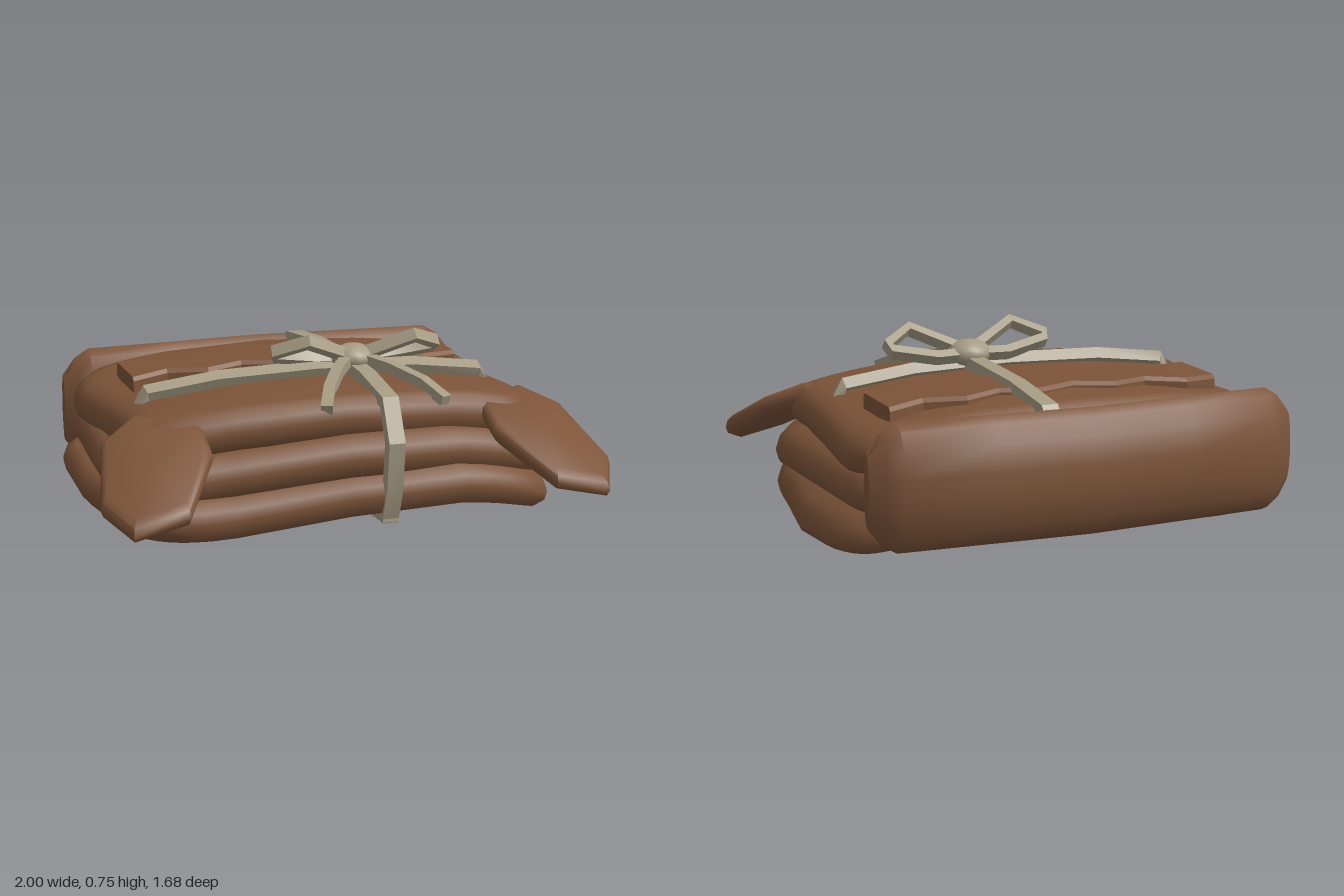
import * as THREE from 'three';
import { toCreasedNormals } from 'three/addons/utils/BufferGeometryUtils.js';

const hide = new THREE.MeshStandardMaterial({ color: 0x7c5439 });
hide.name = 'brown hide';
const twine = new THREE.MeshStandardMaterial({ color: 0xa69c84 });
twine.name = 'pale cord';

// Skin a list of closed cross-sections (equal point counts), capped at both ends
function skin(sections, crease) {
  const n = sections[0].length, pos = [], idx = [];
  sections.forEach(s => s.forEach(p => pos.push(p.x, p.y, p.z)));
  for (let i = 0; i < sections.length - 1; i++)
    for (let j = 0; j < n; j++) {
      const a = i * n + j, b = i * n + (j + 1) % n;
      idx.push(a, b, b + n, a, b + n, a + n);
    }
  [0, sections.length - 1].forEach((row, end) => {
    const c = sections[row].reduce((s, p) => s.add(p), new THREE.Vector3()).divideScalar(n);
    const ci = pos.length / 3;
    pos.push(c.x, c.y, c.z);
    for (let j = 0; j < n; j++) {
      const a = row * n + j, b = row * n + (j + 1) % n;
      if (end) idx.push(ci, a, b); else idx.push(ci, b, a);
    }
  });
  // turn the faces outward if the volume comes out negative
  const at = i => new THREE.Vector3().fromArray(pos, i * 3);
  let volume = 0;
  for (let i = 0; i < idx.length; i += 3) volume += at(idx[i]).dot(at(idx[i + 1]).cross(at(idx[i + 2])));
  if (volume < 0) idx.reverse();
  const g = new THREE.BufferGeometry();
  g.setAttribute('position', new THREE.Float32BufferAttribute(pos, 3));
  g.setIndex(idx);
  return toCreasedNormals(g, crease);
}

const V = (x, y, z) => new THREE.Vector3(x, y, z);

// Padded slab: concentric rings of an outline, [scale, height fraction]
const PAD = [[0.01, 0], [0.45, 0], [0.85, 0], [0.95, 0.08], [0.99, 0.3], [1, 0.52],
  [0.985, 0.76], [0.945, 0.94], [0.87, 1], [0.45, 1], [0.01, 1]];
const FLAP = [[0.01, 0], [0.86, 0], [0.96, 0.2], [1, 0.5], [0.97, 0.82], [0.88, 1], [0.01, 1]];

function slab(outline, cx, cz, rings, height, crease) {
  return skin(rings.map(([s, t]) => outline.map(([x, z]) => {
    const px = cx + (x - cx) * s, pz = cz + (z - cz) * s;
    return V(px, height(px, pz, t), pz);
  })), crease);
}

function layer({ rx, z0, z1, base, arch, skew, phase }) {
  const outline = [], cz = (z0 + z1) / 2, rz = (z1 - z0) / 2, N = 56;
  const power = v => Math.sign(v) * Math.abs(v) ** 0.3;
  for (let i = 0; i < N; i++) {
    const a = i / N * Math.PI * 2;
    const x = rx * power(Math.cos(a)), z = rz * power(Math.sin(a));
    outline.push([x * (1 + 0.028 * Math.sin(6 * (z + cz) + phase)),
      cz + z * (1 + 0.025 * Math.sin(6 * x + phase * 2))]);
  }
  return slab(outline, 0, cz, PAD, (x, z, t) => base + 0.17 * t - arch * x * x
    + skew * (0.03 * Math.sin(3.5 * x) - 0.05 * x ** 3)
    + 0.016 * Math.abs(x) * Math.sin(7 * z + phase * 1.5), 1.0);
}

// Flat cord of rectangular section; "side" is the direction of its width
function cord(points, side, width, thick) {
  const p = points.map(a => V(...a)), s0 = V(...side);
  return skin(p.map((c, i) => {
    const t = p[Math.min(i + 1, p.length - 1)].clone().sub(p[Math.max(i - 1, 0)]).normalize();
    const up = t.clone().cross(s0).normalize(), s = up.clone().cross(t);
    return [[-1, -1], [1, -1], [1, 1], [-1, 1]].map(([u, v]) =>
      c.clone().addScaledVector(s, u * width / 2).addScaledVector(up, v * thick / 2));
  }), 0.4);
}

export function createModel() {
  const group = new THREE.Group();
  const add = (name, geometry, material) => {
    const m = new THREE.Mesh(geometry, material);
    m.name = name;
    group.add(m);
    return m;
  };

  // Three folded hides
  add('bottomHide', layer({ rx: 0.91, z0: -0.68, z1: 0.55, base: 0.095, arch: 0.085, skew: 1.1, phase: 3 }), hide);
  add('middleHide', layer({ rx: 0.885, z0: -0.67, z1: 0.53, base: 0.25, arch: 0.09, skew: 0.6, phase: 0.6 }), hide);
  add('topHide', layer({ rx: 0.845, z0: -0.66, z1: 0.47, base: 0.395, arch: 0.12, skew: 0, phase: 4.2 }), hide);

  // Rolled hide along the back, with tapered ends: [x, height scale, depth scale]
  const half = [[0.4, 1, 1], [0.75, 1, 1], [0.81, 0.85, 0.65], [0.86, 0.58, 0.25]];
  const stations = [...half.map(([x, h, d]) => [-x, h, d]).reverse(), [0, 1, 1], ...half];
  add('backRoll', skin(stations.map(([x, h, d]) => {
    const ring = [];
    for (let i = 0; i < 14; i++) {
      const a = (i + 0.5) / 14 * Math.PI * 2;
      ring.push(V(x, 0.318 + 0.242 * h * Math.sin(a), -0.73 + 0.06 * Math.abs(x) + 0.115 * d * Math.cos(a)));
    }
    return ring;
  }), 0.75), hide);

  // Corner flaps drooping forward and outward
  const flapShape = [[0.555, 0.42], [0.78, 0.265], [0.93, 0.36], [1, 0.67], [0.92, 0.84], [0.71, 0.83], [0.555, 0.57]];
  for (const side of [1, -1])
    add(side > 0 ? 'leftFlap' : 'rightFlap', slab(flapShape.map(([x, z]) => [x * side, z]), 0.78 * side, 0.55, FLAP,
      (x, z, t) => 0.445 - 0.42 * (z - 0.3) - 0.2 * (Math.abs(x) - 0.7) + 0.085 * t, 0.9), hide);

  // Zigzag-edged patch on top
  const patch = [];
  for (let i = 0; i < 10; i++) {
    const x = -0.69 + i * 1.38 / 9, dz = i % 2 ? -0.06 : 0;
    const top = 0.585 - 0.05 * x * x, back = -0.405 + dz, front = -0.11 + dz;
    patch.push([[0.48, back], [top - 0.015, back], [top, back + 0.015],
      [top, front - 0.015], [top - 0.015, front], [0.48, front]].map(([y, z]) => V(x, y, z)));
  }
  add('zigzagPatch', skin(patch, 0.4), hide);

  // Binding cords over the top, down the front and under the bottom
  add('lengthCord', cord([[0.155, 0.52, -0.71], [0.155, 0.55, -0.69], [0.155, 0.583, -0.4], [0.155, 0.595, 0],
    [0.155, 0.583, 0.25], [0.155, 0.545, 0.5], [0.155, 0.4, 0.57], [0.155, 0.22, 0.55], [0.155, 0.08, 0.5]],
  [1, 0, 0], 0.065, 0.05), twine);
  add('crossCord', cord([[-0.71, 0.485, 0.085], [-0.685, 0.542, 0.08], [-0.4, 0.578, 0.08], [0, 0.59, 0.08],
    [0.4, 0.578, 0.08], [0.685, 0.542, 0.08], [0.71, 0.485, 0.085]], [0, -0.5, 1], 0.055, 0.045), twine);
  add('lowerLengthCord', cord([[0.155, 0.1, 0.53], [0.155, 0.09, 0.3], [0.155, 0.09, -0.3], [0.155, 0.1, -0.65]],
    [1, 0, 0], 0.065, 0.045), twine);
  add('lowerCrossCord', cord([[-0.5, 0.095, 0.08], [0, 0.088, 0.08], [0.5, 0.1, 0.08]],
    [0, 0, 1], 0.06, 0.045), twine);

  // Knot, bow loops and loose ends
  const knot = add('knot', new THREE.SphereGeometry(0.09, 12, 8), twine);
  knot.scale.set(1, 0.62, 0.92);
  knot.position.set(0.155, 0.628, 0.083);
  for (const side of [1, -1]) {
    const name = side > 0 ? 'left' : 'right';
    const at = (x, y, z) => [0.155 + side * x, y, z];
    add(name + 'BowLoop', cord([at(0.03, 0.64, 0.1), at(0.22, 0.722, 0.185), at(0.335, 0.675, 0.11),
      at(0.325, 0.655, 0.085), at(0.15, 0.625, 0.045), at(0.02, 0.625, 0.06)], [0, 0.75, -0.6], 0.048, 0.036), twine);
    add(name + 'CordEnd', cord([at(0.03, 0.63, 0.11), at(0.11, 0.61, 0.22), at(0.19, 0.575, 0.36),
      at(0.24, 0.525, 0.475)], [1, 0, -0.5 * side], 0.045, 0.04), twine);
  }
  return group;
}
